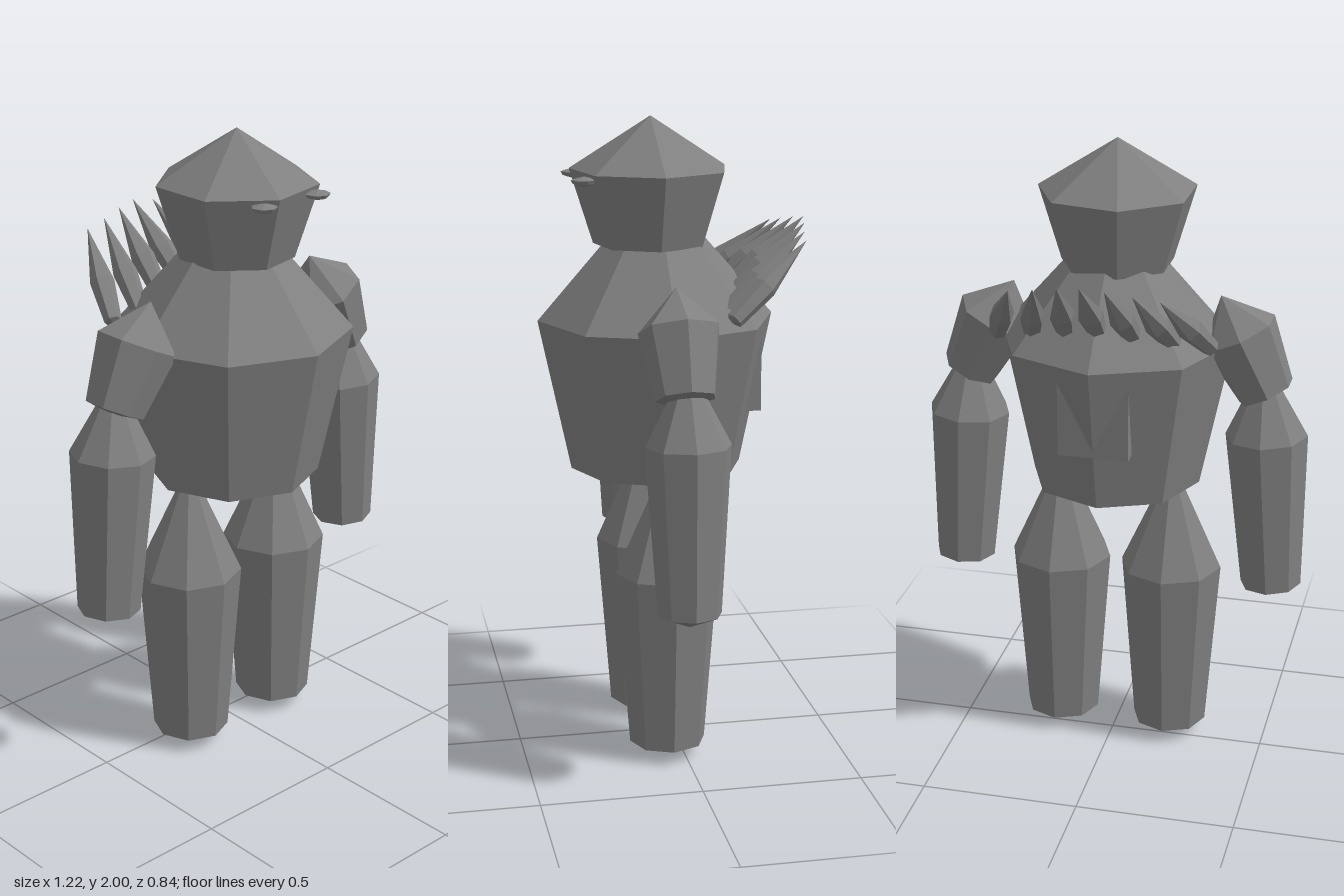
import * as THREE from 'three';

const stone = new THREE.MeshStandardMaterial({ color: 0x808080 });

// Faceted crystal: profile of [radius, height] from the bottom up
function crystal(name, profile, sides, startAngle = 0) {
  const points = profile.map(([r, y]) => new THREE.Vector2(r, y));
  const geo = new THREE.LatheGeometry(points, sides, startAngle).toNonIndexed();
  geo.computeVertexNormals();
  const mesh = new THREE.Mesh(geo, stone);
  mesh.name = name;
  return mesh;
}

export function createModel() {
  const model = new THREE.Group();
  model.name = 'golem';
  const place = (mesh, x, y, z) => {
    mesh.position.set(x, y, z);
    model.add(mesh);
    return mesh;
  };

  // Torso, wide at the shoulders
  place(crystal('torso', [[0, 0.87], [0.27, 0.905], [0.37, 1.38], [0, 1.8]], 8), 0, 0, 0.05);

  // Head with a pointed crown
  place(crystal('head', [[0, 1.59], [0.178, 1.61], [0.25, 1.84], [0, 2]], 7, Math.PI / 2), 0, 0, 0.065);

  // Small slab set into the back
  const slab = new THREE.Mesh(new THREE.BoxGeometry(0.22, 0.28, 0.12), stone);
  slab.name = 'backSlab';
  place(slab, 0, 1.23, -0.203);

  for (const [side, label] of [[1, 'left'], [-1, 'right']]) {
    // Upper arm, leaning out from the shoulder
    const upper = crystal(label + 'UpperArm',
      [[0, -0.225], [0.092, -0.206], [0.125, 0], [0, 0.13]], 7, Math.PI / 2);
    upper.rotation.z = side * 0.455;
    place(upper, side * 0.385, 1.415, 0.05);

    // Forearm
    const forearm = crystal(label + 'Forearm',
      [[0, -0.55], [0.097, -0.51], [0.13, 0], [0, 0.25]], 8);
    forearm.rotation.z = side * 0.055;
    place(forearm, side * 0.482, 1.09, 0.045);

    // Leg
    place(crystal(label + 'Leg',
      [[0, 0], [0.12, 0.045], [0.163, 0.61], [0, 0.97]], 8), side * 0.183, 0, 0.05);

    // Eye pebble
    const eye = crystal(label + 'Eye',
      [[0, -0.017], [0.034, -0.006], [0.04, 0.005], [0, 0.015]], 7);
    place(eye, side * 0.107 + 0.009, 1.82, 0.288);
  }

  // Fan of spikes across the upper back: base and tip of each
  const spikes = [
    [[0, 1.46, -0.18], [0, 1.68, -0.42]],
    [[0.105, 1.45, -0.165], [0.07, 1.67, -0.405]],
    [[0.22, 1.425, -0.125], [0.147, 1.655, -0.385]],
    [[0.33, 1.425, -0.125], [0.225, 1.64, -0.37]],
  ];
  const up = new THREE.Vector3(0, 1, 0);
  spikes.forEach(([base, tip], i) => {
    for (const side of i === 0 ? [1] : [1, -1]) {
      const a = new THREE.Vector3(base[0] * side, base[1], base[2]);
      const axis = new THREE.Vector3(tip[0] * side, tip[1], tip[2]).sub(a);
      const length = axis.length();
      const spike = crystal('backSpike',
        [[0, -0.01], [0.027, 0], [0.038, length * 0.42], [0, length]], 6);
      spike.quaternion.setFromUnitVectors(up, axis.normalize());
      place(spike, a.x, a.y, a.z);
    }
  });

  return model;
}
